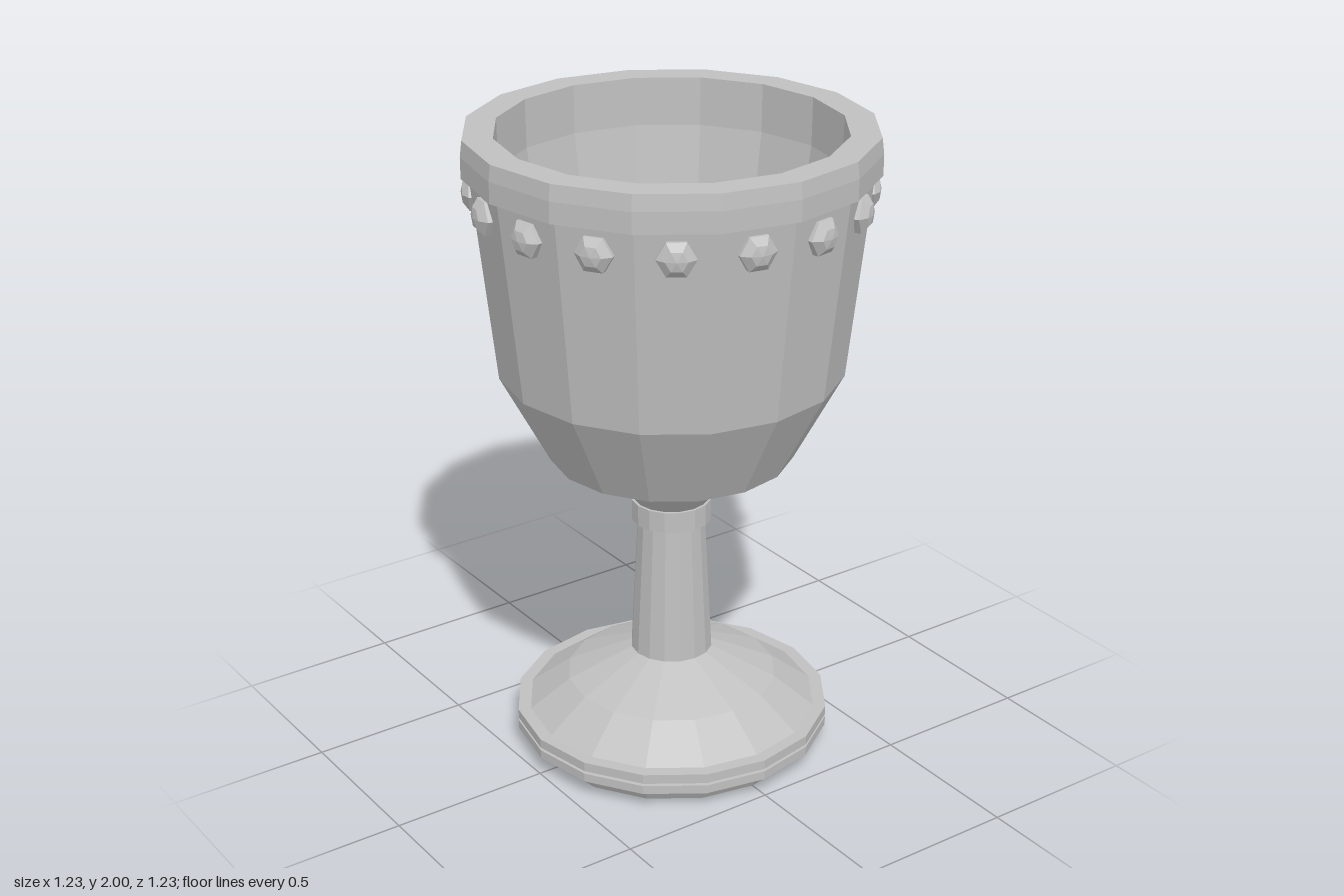
import * as THREE from 'three';

const SIDES = 16;

// Faceted surface of revolution from [radius, height] points, listed bottom to top on the outside
function facetedLathe(profile, sides = SIDES, start = 0) {
  const points = profile.map(([r, y]) => new THREE.Vector2(r, y));
  const geometry = new THREE.LatheGeometry(points, sides, start).toNonIndexed();
  geometry.computeVertexNormals();
  return geometry;
}

export function createModel() {
  const goblet = new THREE.Group();
  goblet.name = 'goblet';

  const metal = new THREE.MeshStandardMaterial({ color: 0xc0c0c0 });
  metal.name = 'silver grey';

  function addPart(name, geometry, parent = goblet) {
    const mesh = new THREE.Mesh(geometry, metal);
    mesh.name = name;
    parent.add(mesh);
    return mesh;
  }

  // Foot: bevelled underside, grooved edge and sloping top
  addPart('foot', facetedLathe([
    [0, 0], [0.435, 0], [0.468, 0.055],
    [0.495, 0.055], [0.495, 0.083], [0.482, 0.083], [0.482, 0.092],
    [0.495, 0.092], [0.495, 0.122], [0.455, 0.122],
    [0.33, 0.215], [0.128, 0.307], [0, 0.307],
  ]));

  // Stem narrows upward into the collar
  addPart('stem', facetedLathe([[0.128, 0.307], [0.105, 0.755]]));
  addPart('collar', facetedLathe([
    [0, 0.754], [0.124, 0.754], [0.124, 0.822], [0, 0.822],
  ]));

  // Bowl: outer wall, rim band, then down the inner wall to the floor
  addPart('bowl', facetedLathe([
    [0.115, 0.822], [0.195, 0.918], [0.373, 0.982], [0.522, 1.263],
    [0.59, 1.888], [0.613, 1.888], [0.613, 1.952], [0.607, 2],
    [0.517, 2], [0.515, 1.85], [0.42, 1.27], [0.152, 1.06], [0, 1.06],
  ]));

  // Ring of six-sided studs, one on each wall facet
  const studs = new THREE.Group();
  studs.name = 'studs';
  goblet.add(studs);
  const studGeometry = facetedLathe([
    [0.057, -0.025], [0.057, 0.012], [0.032, 0.032], [0, 0.038],
  ], 6, Math.PI / 2).rotateX(Math.PI / 2);
  for (let i = 0; i < SIDES; i++) {
    const angle = ((i + 0.5) / SIDES) * Math.PI * 2;
    const stud = addPart(`stud${i + 1}`, studGeometry, studs);
    stud.position.set(Math.sin(angle) * 0.573, 1.81, Math.cos(angle) * 0.573);
    stud.rotation.y = angle;
  }

  return goblet;
}
